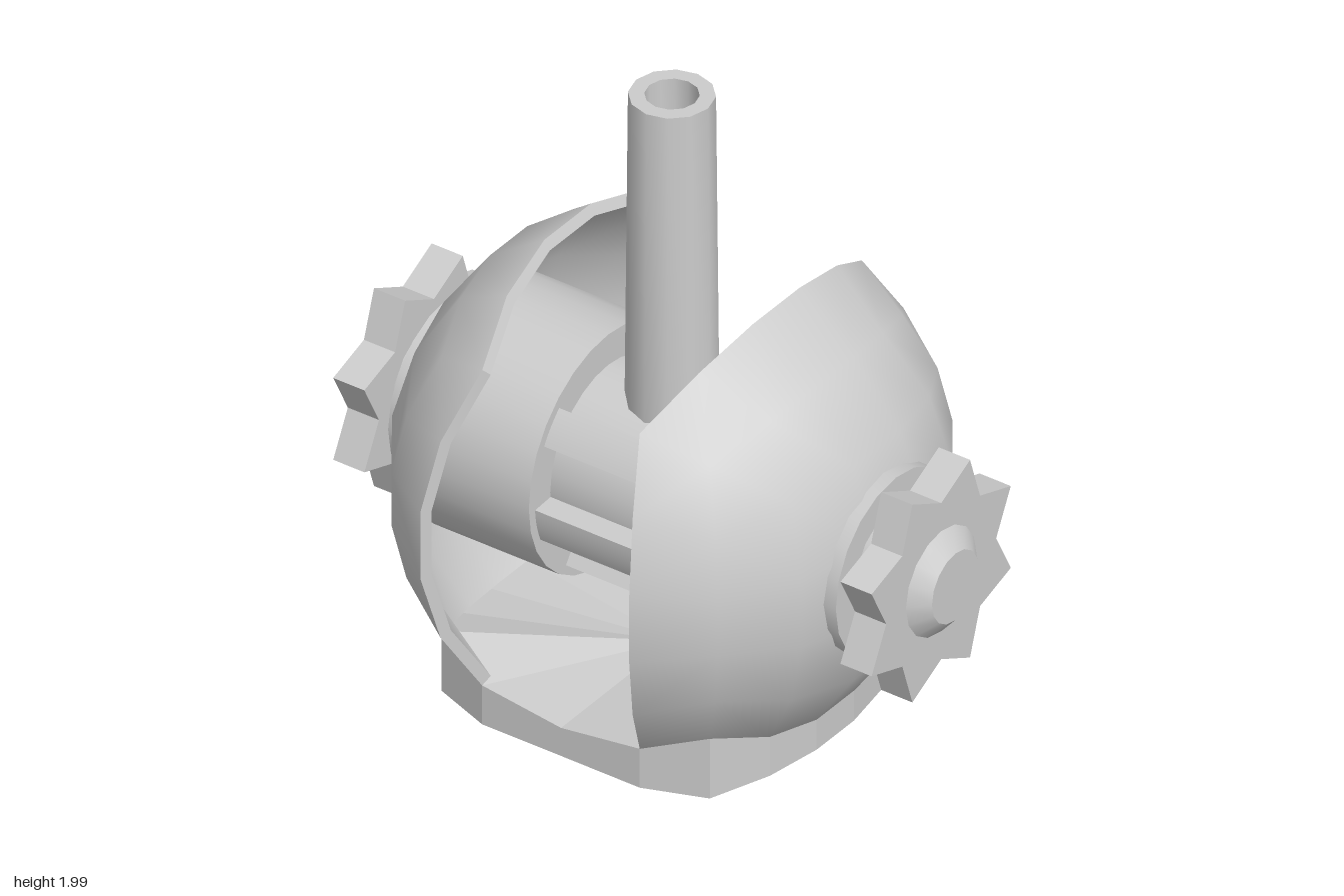
import * as THREE from 'three';
import { toCreasedNormals } from 'three/addons/utils/BufferGeometryUtils.js';

const MID = 0.68, R = 0.82, INNER = 0.783;
const deg = Math.PI / 180;
const tan = (a) => Math.tan(a * deg);
const mat = new THREE.MeshStandardMaterial({ color: 0xcccccc });
const thin = new THREE.MeshStandardMaterial({ color: 0xcccccc, side: THREE.DoubleSide });
const X = new THREE.Vector3(1, 0, 0), Y = new THREE.Vector3(0, 1, 0), Z = new THREE.Vector3(0, 0, 1);

function add(parent, name, geometry, material = mat) {
  const mesh = new THREE.Mesh(geometry, material);
  mesh.name = name;
  parent.add(mesh);
  return mesh;
}

// Grid surface from a point rule; smooth ones take radial normals
function surface(nu, nv, point, radial) {
  const pos = [], normals = [], index = [];
  for (let i = 0; i <= nu; i++) for (let j = 0; j <= nv; j++) {
    const p = point(i, j);
    pos.push(p.x, p.y, p.z);
    normals.push(...p.clone().normalize().multiplyScalar(radial || 1).toArray());
    if (i < nu && j < nv) {
      const a = i * (nv + 1) + j, b = a + nv + 1;
      if (radial === -1) index.push(a, b + 1, b, a, a + 1, b + 1);
      else index.push(a, b, b + 1, a, b + 1, a + 1);
    }
  }
  const g = new THREE.BufferGeometry();
  g.setAttribute('position', new THREE.Float32BufferAttribute(pos, 3));
  g.setIndex(index);
  if (radial) {
    g.setAttribute('normal', new THREE.Float32BufferAttribute(normals, 3));
    return g;
  }
  return toCreasedNormals(g, 0.5);
}

// Point on the ball, from a cube face with normal n and side axes a, b
const onBall = (n, a, b, u, v, r) =>
  n.clone().addScaledVector(a, tan(u)).addScaledVector(b, tan(v)).setLength(r);

// One cheek of the ball: the outer face plus a strip on three neighbouring faces
function cheek() {
  const g = new THREE.Group();
  g.name = 'shellHalf';
  const faces = [[Z.clone().negate(), Y, X], [Y, Z, X], [Z, X, Y]];
  for (const [r, side, label] of [[R, 1, 'Outer'], [INNER, -1, 'Inner']]) {
    add(g, 'shell' + label, surface(5, 5, (i, j) => onBall(X, Y, Z, -45 + 18 * i, -45 + 18 * j, r), side), thin);
    faces.forEach(([n, a, b], k) => {
      const rule = k < 2
        ? (i, j) => onBall(n, a, b, -45 + 18 * i, 27 + 18 * j, r)
        : (i, j) => onBall(n, a, b, 27 + 18 * j, -45 + 18 * i, r);
      const geo = k < 2 ? surface(5, 1, rule, side) : surface(1, 5, (i, j) => rule(j, i), side);
      add(g, 'shellStrip' + label, geo, thin);
    });
  }
  // Rim joining both skins
  const path = [];
  for (let i = 0; i <= 5; i++) path.push([faces[0][0], Y, -45 + 18 * i]);
  for (let i = 1; i <= 5; i++) path.push([Y, Z, -45 + 18 * i]);
  for (let i = 1; i <= 5; i++) path.push([Z, Y, 45 - 18 * i]);
  add(g, 'shellRim', surface(path.length - 1, 1, (i, j) =>
    onBall(path[i][0], path[i][1], X, path[i][2], 27, j ? INNER : R)), thin);
  return g;
}

// Disc along the x axis, from x0 to x1
function disc(parent, name, x0, x1, r0, r1 = r0, sides = 20) {
  const geo = new THREE.CylinderGeometry(r1, r0, x1 - x0, sides);
  geo.rotateZ(-Math.PI / 2);
  geo.translate((x0 + x1) / 2, 0, 0);
  return add(parent, name, toCreasedNormals(geo, 0.6));
}

// Extrude a shape along x, from x0 to x1
function extrudeX(parent, name, shape, x0, x1, curveSegments = 4) {
  const geo = new THREE.ExtrudeGeometry(shape, { depth: x1 - x0, bevelEnabled: false, curveSegments });
  geo.rotateY(Math.PI / 2);
  geo.translate(x0, 0, 0);
  return add(parent, name, toCreasedNormals(geo, 0.5));
}

// Collar, star wheel and knob at one end of the axle
function sideWheel() {
  const g = new THREE.Group();
  g.name = 'sideWheel';
  disc(g, 'collar', 0.68, 0.79, 0.295);
  disc(g, 'neck', 0.79, 0.85, 0.21, 0.21, 16);
  const points = [];
  for (let i = 0; i < 16; i++) {
    const r = i % 2 ? 0.37 : 0.27, a = i * 22.5 * deg;
    points.push(new THREE.Vector2(r * Math.cos(a), r * Math.sin(a)));
  }
  extrudeX(g, 'starWheel', new THREE.Shape(points), 0.84, 0.95);
  disc(g, 'knob', 0.94, 1, 0.185, 0.115, 16);
  return g;
}

// Plinth: the lower outline of the ball dropped to the ground
function plinth() {
  const down = Y.clone().negate(), ring = [];
  for (let i = 0; i <= 5; i++) ring.push(onBall(X, Y, Z, -45, -45 + 18 * i, R));
  ring.push(onBall(Z, X, Y, 27, -45, R), new THREE.Vector3(0, -0.583, 0.545), onBall(Z, X, Y, -27, -45, R));
  const half = ring.length;
  for (let i = 0; i < half; i++) ring.push(new THREE.Vector3(-ring[i].x, ring[i].y, -ring[i].z));
  const pos = [];
  const tri = (...pts) => pts.forEach((p) => pos.push(p.x, p.y, p.z));
  const low = down.clone().multiplyScalar(MID), floor = down.clone().multiplyScalar(0.58);
  ring.forEach((p, i) => {
    const q = ring[(i + 1) % ring.length];
    const p0 = p.clone().setY(-MID), q0 = q.clone().setY(-MID);
    tri(p0, p, q);
    tri(p0, q, q0);
    tri(low, p0, q0);
    tri(floor, q, p);
  });
  const geo = new THREE.BufferGeometry();
  geo.setAttribute('position', new THREE.Float32BufferAttribute(pos, 3));
  geo.computeVertexNormals();
  return geo;
}

export function createModel() {
  const model = new THREE.Group();
  const ball = new THREE.Group();
  ball.name = 'body';
  ball.position.y = MID;
  model.add(ball);

  add(ball, 'base', plinth());

  for (const turn of [0, Math.PI]) {
    const side = new THREE.Group();
    side.name = turn ? 'rightSide' : 'leftSide';
    side.rotation.y = turn;
    side.add(cheek(), sideWheel());
    disc(side, 'drumFlange', 0.225, 0.665, 0.39, 0.39, 28);
    ball.add(side);
  }

  // Drum core with raised bars, leaving the top place free for the lever
  disc(ball, 'drumCore', -0.23, 0.23, 0.285, 0.285, 28);
  for (let k = 1; k < 7; k++) {
    const a = Math.PI / 2 + k * Math.PI * 2 / 7, w = 9.5 * deg;
    const bar = new THREE.Shape();
    bar.absarc(0, 0, 0.36, a - w, a + w, false);
    bar.absarc(0, 0, 0.25, a + w, a - w, true);
    extrudeX(ball, 'drumBar', bar, -0.23, 0.23);
  }

  // Hollow lever tube
  const profile = [[0.137, 0.9], [0.127, 1.99], [0.08, 1.99], [0.08, 1.45], [0, 1.45]]
    .map(([r, y]) => new THREE.Vector2(r, y));
  add(model, 'lever', toCreasedNormals(new THREE.LatheGeometry(profile, 12), 0.7), thin);
  return model;
}
